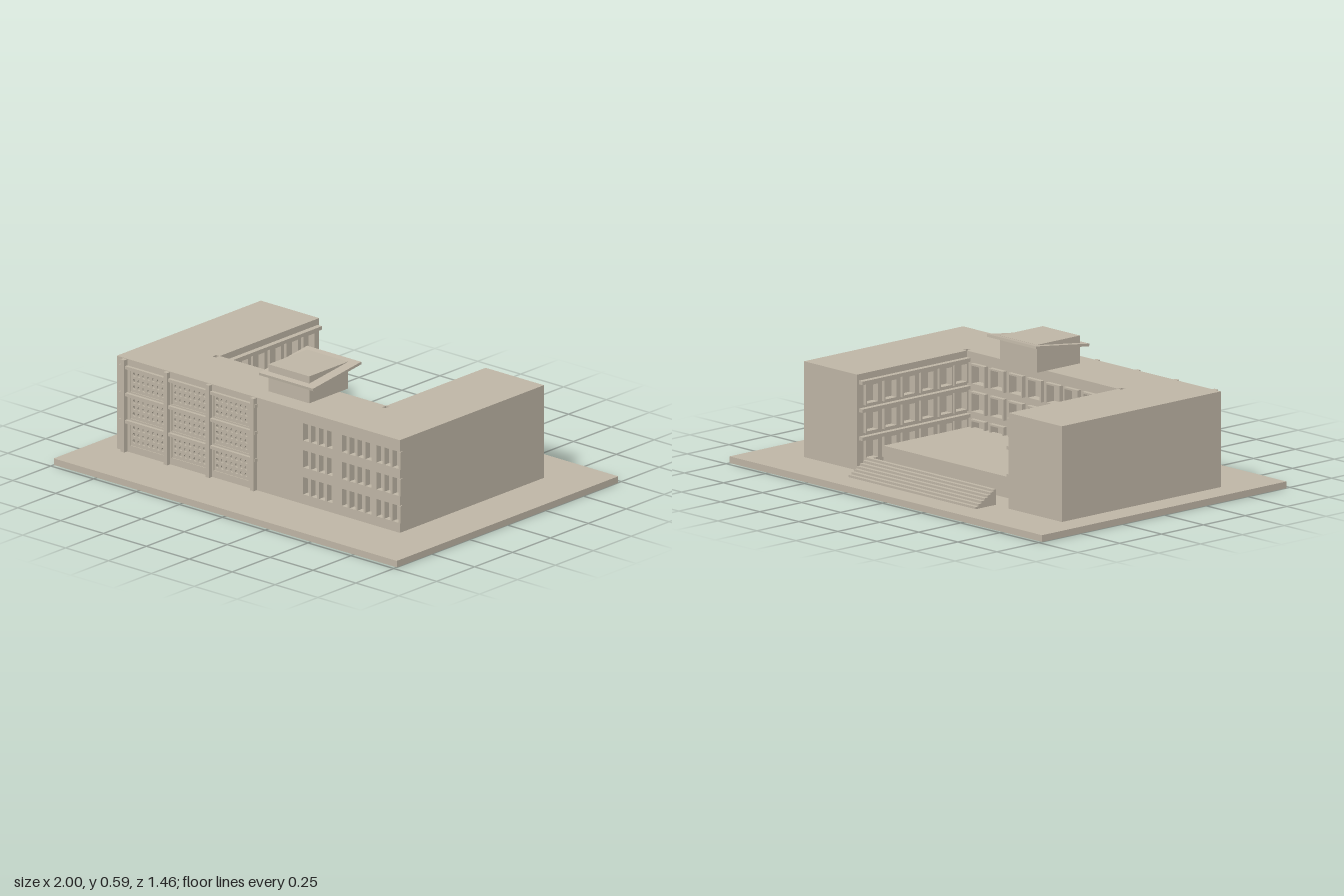
import * as THREE from 'three';

const stone = new THREE.MeshStandardMaterial({ color: 0xbfb6a6 });
stone.name = 'stone';

function add(parent, name, geometry, x = 0, y = 0, z = 0) {
  const mesh = new THREE.Mesh(geometry, stone);
  mesh.name = name;
  mesh.position.set(x, y, z);
  parent.add(mesh);
  return mesh;
}

// box given by its limits
function block(parent, name, x0, x1, y0, y1, z0, z1) {
  return add(parent, name, new THREE.BoxGeometry(x1 - x0, y1 - y0, z1 - z0),
    (x0 + x1) / 2, (y0 + y1) / 2, (z0 + z1) / 2);
}

function rectPath(x0, x1, y0, y1, Type = THREE.Path) {
  const p = new Type();
  p.moveTo(x0, y0);
  p.lineTo(x1, y0);
  p.lineTo(x1, y1);
  p.lineTo(x0, y1);
  p.closePath();
  return p;
}

// upright slab with rectangular openings, extruded towards +z
function wall(x0, x1, y0, y1, depth, openings) {
  const s = rectPath(x0, x1, y0, y1, THREE.Shape);
  for (const o of openings) s.holes.push(rectPath(...o));
  return new THREE.ExtrudeGeometry(s, { depth, bevelEnabled: false });
}

// screen pierced by a grid of round holes
function screen(w, h, depth) {
  const s = rectPath(-w / 2, w / 2, -h / 2, h / 2, THREE.Shape);
  for (let i = 0; i < 7; i++) for (let j = 0; j < 3; j++) {
    const hole = new THREE.Path();
    hole.absarc((i - 3) * 0.028, (j - 1) * 0.03, 0.0095, 0, Math.PI * 2);
    s.holes.push(hole);
  }
  return new THREE.ExtrudeGeometry(s, { depth, bevelEnabled: false, curveSegments: 5 });
}

const ROWS = [0.075, 0.2, 0.325];
const G = 0.03, TOP = 0.46;

// courtyard wall seen from its own front: openings with projecting frames
function courtWall(name, x0, x1, centres, width, depth, frameDepth) {
  const g = new THREE.Group();
  g.name = name;
  const openings = [];
  for (const c of centres) for (const y of ROWS) {
    openings.push([c - width / 2, c + width / 2, y, y + 0.08]);
    const e = 0.008;
    add(g, 'windowFrame', wall(c - width / 2 - e, c + width / 2 + e, y - e, y + 0.08 + e,
      frameDepth, [[c - width / 2, c + width / 2, y, y + 0.08]]));
  }
  add(g, 'wallLining', wall(x0, x1, G, TOP, depth, openings), 0, 0, -depth);
  return g;
}

export function createModel() {
  const model = new THREE.Group();
  model.name = 'building';

  block(model, 'groundSlab', -1, 1, 0, G, -0.73, 0.73);

  // U-shaped body
  const plan = new THREE.Shape();
  [[-0.88, -0.42], [0.77, -0.42], [0.77, 0.5], [0.45, 0.5], [0.45, -0.18],
    [-0.56, -0.18], [-0.56, 0.5], [-0.88, 0.5]].forEach(([x, y], i) =>
    i ? plan.lineTo(x, y) : plan.moveTo(x, y));
  const body = new THREE.ExtrudeGeometry(plan, { depth: TOP - G, bevelEnabled: false });
  body.rotateX(-Math.PI / 2);
  add(model, 'mainBody', body, 0, G, 0);

  // front wall with window openings and screen bays
  const bays = [[-0.8, -0.595], [-0.56, -0.35], [-0.315, -0.11]];
  const openings = [];
  for (const y of ROWS) {
    for (const start of [0.207, 0.432, 0.635])
      for (let i = 0; i < (start > 0.6 ? 3 : 4); i++)
        openings.push([start + i * 0.046, start + i * 0.046 + 0.034, y, y + 0.08]);
  }
  for (const [a, b] of bays) for (const y of ROWS) openings.push([a, b, y - 0.013, y + 0.092]);
  add(model, 'frontWall', wall(-0.88, 0.77, G, TOP, 0.03, openings), 0, 0, 0.42);
  for (const y of ROWS) block(model, 'cornerWindow', 0.764, 0.776, y, y + 0.08, 0.436, 0.453);

  // pierced screens with posts and beams
  for (const [a, b] of bays) for (const y of ROWS)
    add(model, 'piercedScreen', screen(b - a, 0.105, 0.008), (a + b) / 2, y + 0.0395, 0.438);
  for (const x of [-0.83, -0.58, -0.335, -0.075])
    block(model, 'facadePost', x - 0.011, x + 0.011, G, TOP - 0.002, 0.45, 0.47);
  for (const y of [0.172, 0.298, 0.423])
    block(model, 'facadeBeam', -0.855, -0.06, y - 0.007, y + 0.007, 0.45, 0.465);

  // courtyard back wall faces -z
  const backCentres = [-0.375, -0.255, -0.14, -0.02, 0.1, 0.22, 0.34];
  const back = courtWall('courtBackWall', -0.43, 0.54, backCentres.map((x) => -x), 0.075, 0.025, 0.02);
  back.rotation.y = Math.PI;
  back.position.z = 0.155;
  model.add(back);

  // courtyard side walls with ledges, facing each other
  const sideCentres = [-0.42, -0.31, -0.2, -0.09, 0.02, 0.11];
  for (const s of [1, -1]) {
    const side = courtWall('courtSideWall', s > 0 ? -0.155 : -0.5, s > 0 ? 0.5 : 0.155,
      sideCentres.map((z) => -s * z), 0.066, 0.02, 0.014);
    for (const y of [0.172, 0.298, 0.423])
      block(side, 'ledge', s > 0 ? -0.155 : -0.49, s > 0 ? 0.49 : 0.155, y - 0.008, y + 0.008, 0, 0.025);
    side.rotation.y = s * Math.PI / 2;
    side.position.x = s > 0 ? -0.54 : 0.43;
    model.add(side);
  }

  // raised courtyard floor and the stairs up to it
  block(model, 'courtFloor', -0.51, 0.4, G, 0.125, -0.37, 0.155);
  for (let i = 0; i < 7; i++)
    block(model, 'stairStep', -0.45, 0.365, G, 0.04 + i * 0.01, -0.613 + i * 0.0175, -0.613 + (i + 1) * 0.0175);

  // roof tower with a tilted canopy
  block(model, 'roofTower', -0.08, 0.158, TOP, 0.585, 0.1, 0.355);
  const canopy = block(model, 'tiltedCanopy', -0.107, 0.208, 0.556, 0.568, 0.067, 0.387);
  canopy.rotation.x = 0.125;

  return model;
}
